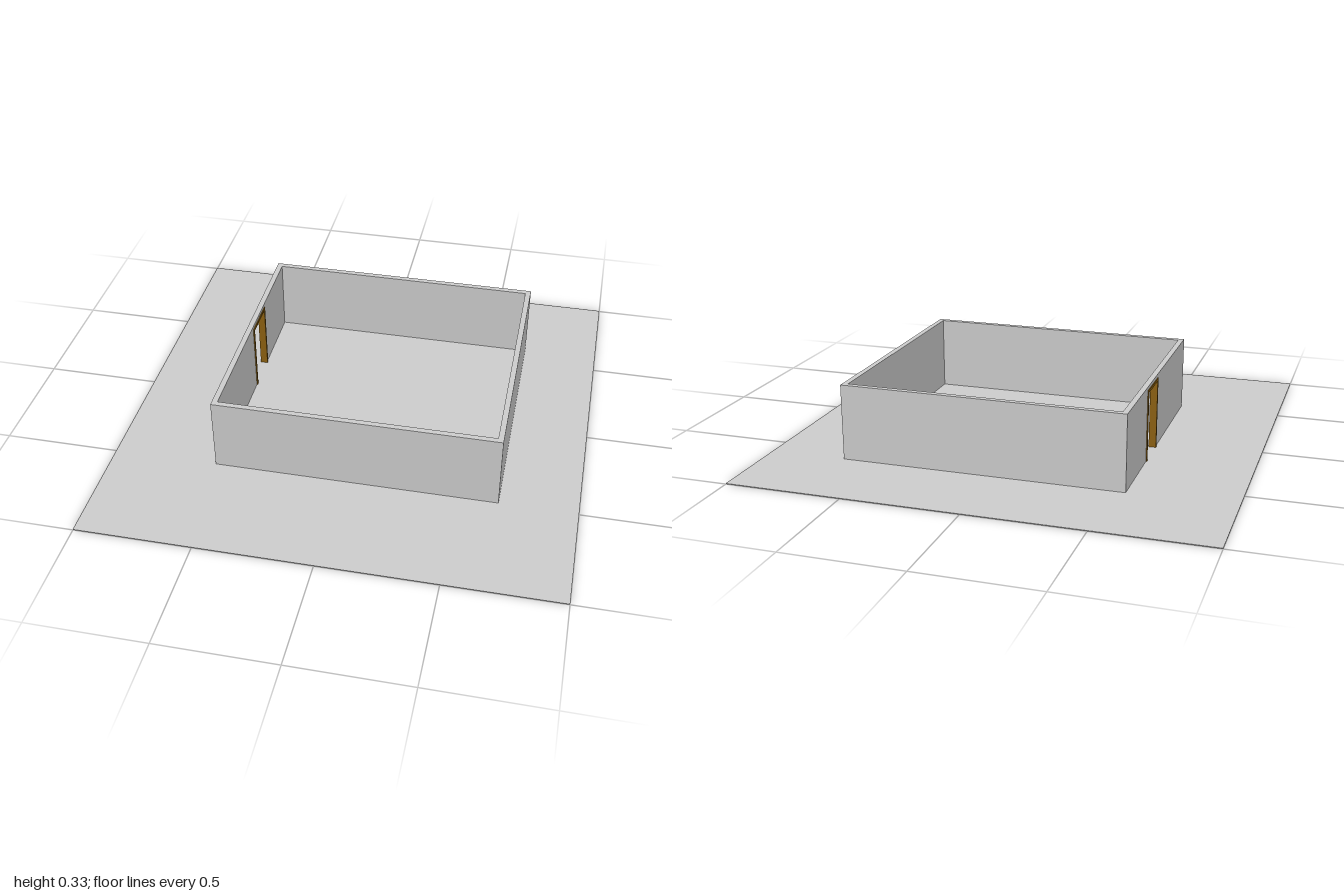
import * as THREE from 'three';

const grey = new THREE.MeshStandardMaterial({ color: 0xcccccc, side: THREE.DoubleSide });
const wood = new THREE.MeshStandardMaterial({ color: 0x8b6010 });

// Box given by its lower and upper corners
function block(name, material, [x0, y0, z0], [x1, y1, z1]) {
  const mesh = new THREE.Mesh(new THREE.BoxGeometry(x1 - x0, y1 - y0, z1 - z0), material);
  mesh.position.set((x0 + x1) / 2, (y0 + y1) / 2, (z0 + z1) / 2);
  mesh.name = name;
  return mesh;
}

export function createModel() {
  const model = new THREE.Group();
  model.name = 'walledRoom';

  const ground = 0.003, top = 0.33, t = 0.024;
  const x0 = -0.55, x1 = 0.668, z0 = -0.612, z1 = 0.5;
  const door = { z0: -0.258, z1: -0.072, top: 0.315 };

  // Ground slab
  model.add(block('ground', grey, [-1, 0, -1], [1, ground, 1]));

  // Three solid walls
  model.add(block('frontWall', grey, [x0, ground, z1 - t], [x1, top, z1]));
  model.add(block('backWall', grey, [x0, ground, z0], [x1, top, z0 + t]));
  model.add(block('leftWall', grey, [x1 - t, ground, z0 + t], [x1, top, z1 - t]));

  // Right wall with a doorway, drawn in (-z, y) and extruded along x
  const outline = new THREE.Shape([
    [t - z1, ground], [-door.z1, ground], [-door.z1, door.top], [-door.z0, door.top],
    [-door.z0, ground], [-z0 - t, ground], [-z0 - t, top], [t - z1, top],
  ].map(([u, v]) => new THREE.Vector2(u, v)));
  const doorWall = new THREE.Mesh(
    new THREE.ExtrudeGeometry(outline, { depth: t, bevelEnabled: false }), grey);
  doorWall.rotation.y = Math.PI / 2;
  doorWall.position.x = x0;
  doorWall.name = 'rightWall';
  model.add(doorWall);

  // Wooden door frame, slightly proud of the wall on both faces
  const frame = new THREE.Group();
  frame.name = 'doorFrame';
  const w = 0.012, fx0 = x0 - 0.004, fx1 = x0 + t + 0.004;
  for (const z of [door.z0, door.z1 - w]) {
    frame.add(block('doorJamb', wood, [fx0, ground, z], [fx1, door.top, z + w]));
  }
  frame.add(block('doorHead', wood,
    [fx0, door.top - w, door.z0 + w], [fx1, door.top, door.z1 - w]));
  model.add(frame);

  return model;
}
